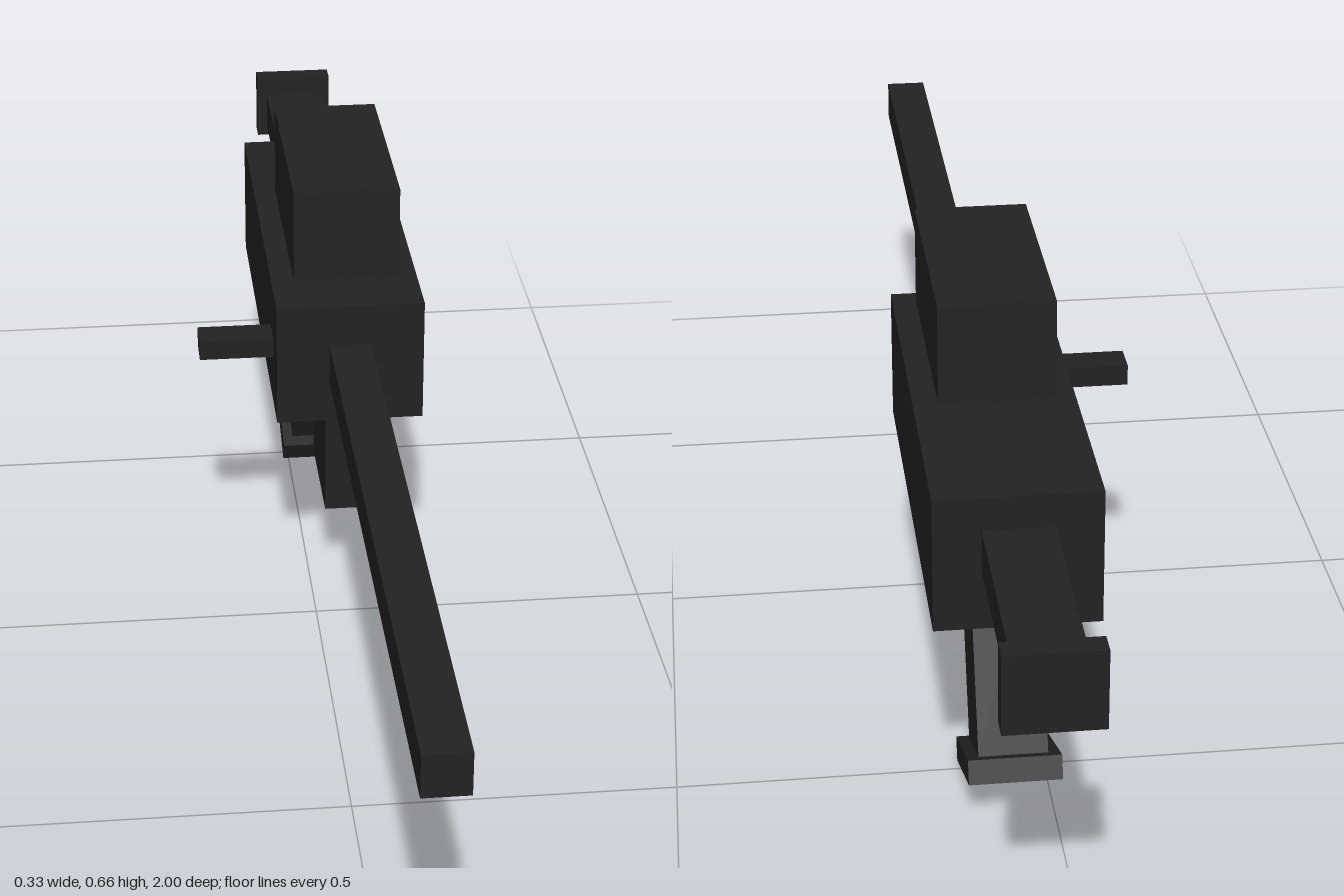
import * as THREE from 'three';

const CX = 0.054; // centre line of the main body

export function createModel() {
  const model = new THREE.Group();
  const darkMetal = new THREE.MeshStandardMaterial({ color: 0x222222 });
  darkMetal.name = 'darkMetal';

  // Box given by its lower and upper limits on each axis
  function block(name, [x0, x1], [y0, y1], [z0, z1], parent = model) {
    const mesh = new THREE.Mesh(new THREE.BoxGeometry(x1 - x0, y1 - y0, z1 - z0), darkMetal);
    mesh.position.set((x0 + x1) / 2, (y0 + y1) / 2, (z0 + z1) / 2);
    mesh.name = name;
    parent.add(mesh);
    return mesh;
  }
  // Limits in x for a part of width w on the centre line
  const wide = (w, c = CX) => [c - w / 2, c + w / 2];

  // Body and barrel
  block('receiver', wide(0.218), [0.315, 0.503], [-0.653, -0.033]);
  block('barrel', wide(0.062), [0.379, 0.44], [-0.033, 1]);

  // Sight on its mount
  block('scopeMount', wide(0.062), [0.503, 0.519], [-0.372, -0.14]);
  block('scope', wide(0.156), [0.519, 0.659], [-0.42, -0.093]);

  // Side handle, magazine
  block('boltHandle', [-0.165, -0.055], [0.394, 0.424], [-0.143, -0.094]);
  block('magazine', wide(0.062), [0.127, 0.315], [-0.278, -0.092]);

  // Stock and butt plate
  block('stock', wide(0.093), [0.398, 0.457], [-0.968, -0.653]);
  block('buttPlate', wide(0.125), [0.382, 0.488], [-1, -0.968]);

  // Slanted grip with its foot plate
  const grip = new THREE.Group();
  grip.name = 'grip';
  grip.position.set(CX, 0.0475, -0.551);
  grip.rotation.x = THREE.MathUtils.degToRad(22.5);
  block('gripHandle', wide(0.093, 0), [0.0165, 0.33], [-0.064, 0.064], grip);
  block('gripPlate', wide(0.125, 0), [-0.0165, 0.0165], [-0.084, 0.084], grip);
  model.add(grip);

  return model;
}
